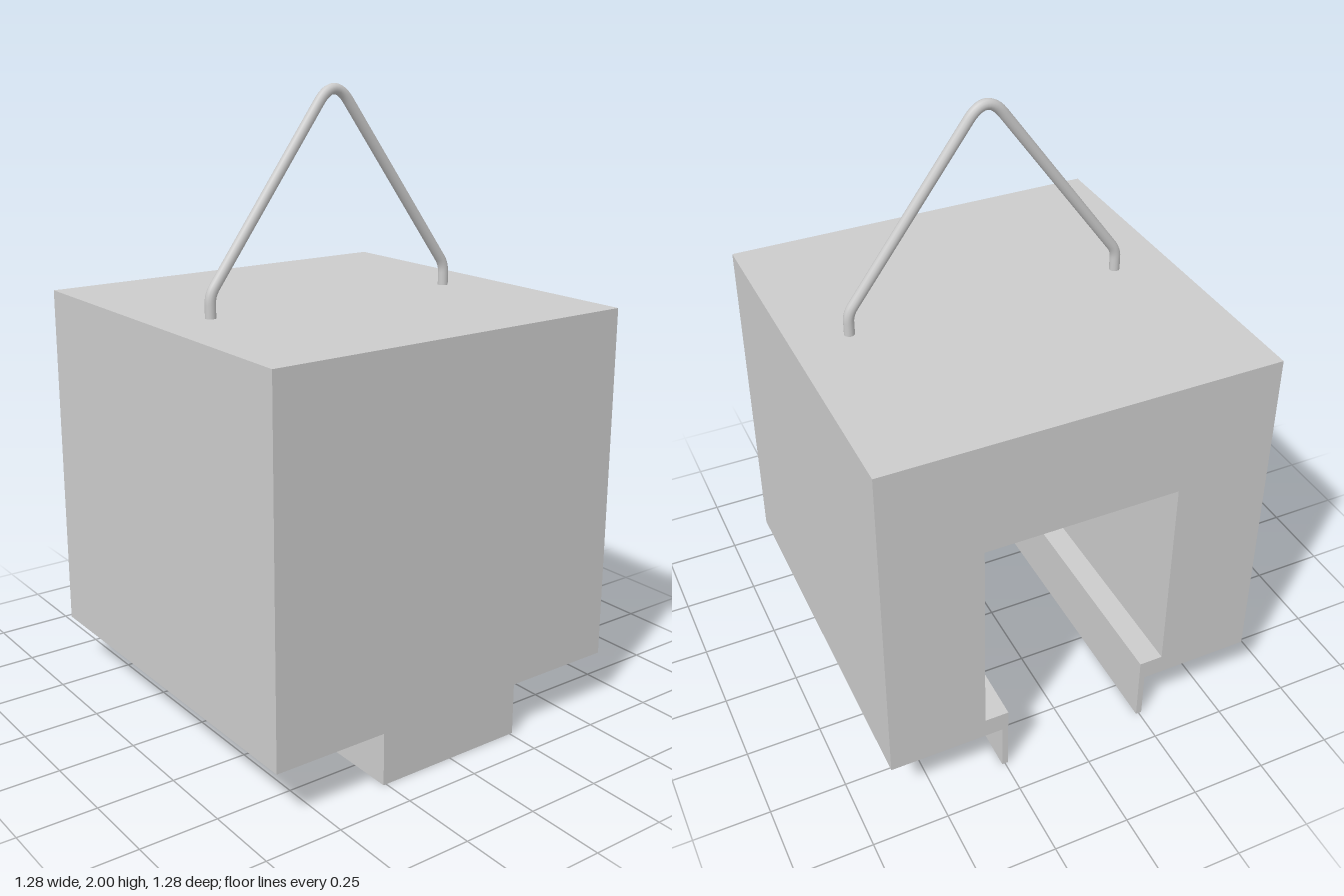
import * as THREE from 'three';

const HALF = 0.64;      // half width of the cube
const TOP = 1.33;       // top of the cube
const STEP = 0.17;      // underside of the cube, above the rail
const RAIL = 0.26;      // half width of the rail under the cube
const END = 0.1;        // thickness of the closed end wall

const material = new THREE.MeshStandardMaterial({ color: 0xcccccc });

// Extrudes a z-y profile along x, from x0 to x1.
function extrudeAlongX(points, x0, x1, name) {
  const shape = new THREE.Shape(points.map(([z, y]) => new THREE.Vector2(-z, y)));
  const geometry = new THREE.ExtrudeGeometry(shape, { depth: x1 - x0, bevelEnabled: false });
  geometry.rotateY(Math.PI / 2).translate(x0, 0, 0);
  const mesh = new THREE.Mesh(geometry, material);
  mesh.name = name;
  return mesh;
}

// Mirrors a half profile across z = 0.
const mirror = (half) => half.map(([z, y]) => [-z, y]).reverse();

// Thin bent wire: two short legs, two slopes and a rounded peak.
function createHandle() {
  const p = (z, y) => new THREE.Vector3(0.03, y, z - 0.003);
  const path = new THREE.CurvePath();
  path.add(new THREE.LineCurve3(p(0.453, 1.32), p(0.453, 1.375)));
  path.add(new THREE.QuadraticBezierCurve3(p(0.453, 1.375), p(0.453, 1.4), p(0.437, 1.422)));
  path.add(new THREE.LineCurve3(p(0.437, 1.422), p(0.055, 1.945)));
  path.add(new THREE.QuadraticBezierCurve3(p(0.055, 1.945), p(0, 2.02), p(-0.055, 1.945)));
  path.add(new THREE.LineCurve3(p(-0.055, 1.945), p(-0.437, 1.422)));
  path.add(new THREE.QuadraticBezierCurve3(p(-0.437, 1.422), p(-0.453, 1.4), p(-0.453, 1.375)));
  path.add(new THREE.LineCurve3(p(-0.453, 1.375), p(-0.453, 1.32)));
  const mesh = new THREE.Mesh(new THREE.TubeGeometry(path, 160, 0.017, 12), material);
  mesh.name = 'wireHandle';
  return mesh;
}

export function createModel() {
  const group = new THREE.Group();
  group.name = 'hangingBlock';

  // Outer outline: cube with the narrower rail below
  const outer = [[RAIL, 0], [RAIL, STEP], [HALF, STEP], [HALF, TOP]];
  // Cavity: wide chamber above a slot that is open at the bottom
  const cavity = [[0.24, 0], [0.24, 0.24], [0.32, 0.24], [0.32, 0.95]];

  group.add(extrudeAlongX(
    [...outer, ...mirror(outer), ...mirror(cavity).reverse(), ...[...cavity].reverse()],
    -HALF, HALF - END, 'slottedBody'));
  group.add(extrudeAlongX([...outer, ...mirror(outer)], HALF - END, HALF, 'closedEndWall'));
  group.add(createHandle());
  return group;
}
